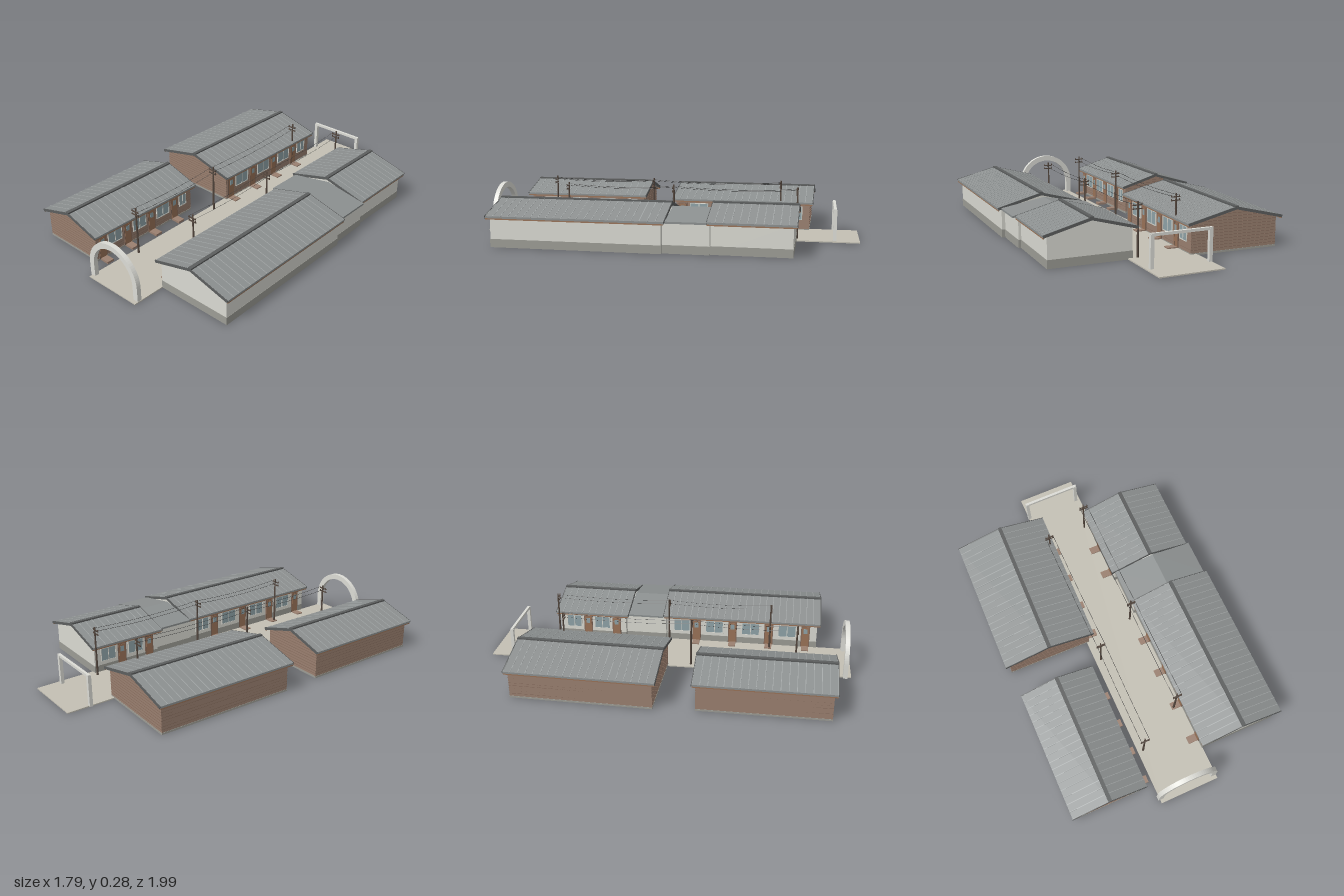
import * as THREE from 'three';

const mat = (color, side = THREE.FrontSide) => new THREE.MeshStandardMaterial({ color, side, flatShading: true });
const M = {
  roof: mat(0x8c9090), cap: mat(0x5c5e5e), rib: mat(0xa3a7a7), brown: mat(0x9a8070), board: mat(0x84695a),
  pale: mat(0xdadad2), dado: mat(0x9c9c95), street: mat(0xc4c0b4), arch: mat(0xdcdcd6), door: mat(0x9a7358),
  glass: mat(0x8fa3a8), step: mat(0x9b8070), pole: mat(0x55483f), wire: mat(0x3a3a3a),
};
const DEG = Math.PI / 180;
const STREET_ANGLE = -25.2 * DEG;

function add(parent, name, geo, material, x = 0, y = 0, z = 0) {
  const m = new THREE.Mesh(geo, material);
  m.name = name;
  m.position.set(x, y, z);
  parent.add(m);
  return m;
}
const box = (parent, name, material, w, h, d, x, y, z) =>
  add(parent, name, new THREE.BoxGeometry(w, h, d), material, x, y, z);

// Extrude a cross-section along z, centred on z = 0
function prism(points, depth) {
  const shape = new THREE.Shape(points.map(([x, y]) => new THREE.Vector2(x, y)));
  return new THREE.ExtrudeGeometry(shape, { depth, bevelEnabled: false }).translate(0, 0, -depth / 2);
}

// Window with frame, glass and bars on the wall plane x, facing side s
function addWindow(g, s, x, z, w) {
  const win = new THREE.Group();
  win.name = 'window';
  g.add(win);
  box(win, 'glass', M.glass, 0.004, 0.07, w, x + s * 0.001, 0.098, z);
  for (const y of [0.062, 0.134]) box(win, 'windowRail', M.pale, 0.008, 0.004, w + 0.004, x + s * 0.001, y, z);
  for (const k of [-0.5, 0, 0.5]) box(win, 'windowBar', M.pale, 0.008, 0.072, 0.004, x + s * 0.001, 0.098, z + k * w);
}

// Door with frame and step
function addDoor(g, s, x, z) {
  box(g, 'doorFrame', M.board, 0.006, 0.128, 0.05, x + s * 0.001, 0.072, z);
  box(g, 'door', M.door, 0.008, 0.12, 0.04, x + s * 0.002, 0.07, z);
  box(g, 'doorPane', M.glass, 0.01, 0.03, 0.022, x + s * 0.002, 0.105, z);
  box(g, 'doorStep', M.step, 0.058, 0.012, 0.04, x + s * 0.028, 0.006, z);
}

// Gabled house; width and length are those of the roof, side is where the street lies
function house({ name, x, z, angle, width, length, side, brick, doors, ridge = 0.222, plain = false, wallExtra = -0.036 }) {
  const g = new THREE.Group();
  g.name = name;
  g.position.set(x, 0, z);
  g.rotation.y = -angle * DEG;
  const R = width / 2, W = R - 0.023, L = length + wallExtra, eave = 0.16;
  const roofY = (u) => ridge - (ridge - eave) * Math.abs(u) / R;

  // Walls
  const top = roofY(W) - 0.008;
  add(g, 'walls', prism([[-W, 0], [W, 0], [W, top], [0, ridge - 0.008], [-W, top]], L), brick ? M.brown : M.pale);
  const baseH = brick ? 0.01 : 0.042;
  box(g, 'wallBase', M.dado, 2 * W + 0.003, baseH, L + 0.003, 0, baseH / 2, 0);
  if (brick) {
    // Horizontal boards on the gable ends
    for (let y = 0.025; y < 0.205; y += 0.015) {
      const half = y < top - 0.004 ? W : Math.max(0, R * (ridge - 0.012 - y) / (ridge - eave));
      if (half > 0.02) box(g, 'sidingBoard', M.board, 2 * half, 0.002, L + 0.003, 0, y, 0);
    }
  }

  // Roof
  const t = 0.01;
  add(g, 'roof', prism([[-R, eave - t], [0, ridge - t], [R, eave - t], [R, eave], [0, ridge], [-R, eave]], length), M.roof);
  if (!plain) {
    box(g, 'ridgeCap', M.cap, 0.02, 0.009, length + 0.004, 0, ridge + 0.001, 0);
    const slope = Math.atan2(ridge - eave, R), run = Math.hypot(ridge - eave, R);
    const n = Math.round(length / 0.04);
    for (const s of [-1, 1]) {
      for (let i = 0; i <= n; i++) {
        const rib = box(g, 'roofSeam', M.rib, run, 0.003, 0.003, s * R / 2, (ridge + eave) / 2,
          (i / n - 0.5) * (length - 0.004));
        rib.rotation.z = -s * slope;
      }
      box(g, 'eaveBoard', M.door, 0.004, 0.009, length - 0.004, s * (R - 0.003), eave - 0.012, 0);
      // Dark verge strips along the gable edges
      for (const e of [-1, 1]) {
        const verge = box(g, 'verge', M.cap, run, 0.014, 0.004, s * R / 2, (ridge + eave) / 2 - 0.005, e * length / 2);
        verge.rotation.z = -s * slope;
      }
    }
  }

  // Street front: doors with windows in the gaps between them
  const wx = side * W;
  const stops = [-L / 2, ...doors, L / 2];
  for (const d of doors) addDoor(g, side, wx, d);
  for (let i = 0; doors.length && i < stops.length - 1; i++) {
    const a = stops[i] + 0.03, b = stops[i + 1] - 0.03;
    if (b - a > 0.06) addWindow(g, side, wx, (a + b) / 2, Math.min(b - a - 0.02, 0.1));
  }
  return g;
}

// Utility pole with two crossarms
function utilityPole(x, z) {
  const g = new THREE.Group();
  g.name = 'utilityPole';
  g.position.set(x, 0, z);
  g.rotation.y = STREET_ANGLE;
  add(g, 'pole', new THREE.CylinderGeometry(0.004, 0.006, 0.275, 8), M.pole, 0, 0.1375, 0);
  for (const y of [0.238, 0.256]) {
    box(g, 'crossarm', M.pole, 0.05, 0.005, 0.005, 0, y, 0.005);
    for (const k of [-0.022, 0.022])
      add(g, 'insulator', new THREE.CylinderGeometry(0.002, 0.002, 0.008, 6), M.pole, k, y + 0.005, 0.005);
  }
  return g;
}

export function createModel() {
  const model = new THREE.Group();
  model.name = 'streetOfHouses';

  // Street with the two gateways
  const street = new THREE.Group();
  street.name = 'street';
  street.rotation.y = STREET_ANGLE;
  model.add(street);
  box(street, 'pavement', M.street, 0.332, 0.006, 2.0, 0.049, 0.003, -0.05);

  // Round entrance arch
  const outer = 0.17, inner = 0.14, spring = 0.08;
  const shape = new THREE.Shape();
  shape.moveTo(outer, 0);
  shape.lineTo(outer, spring);
  shape.absarc(0, spring, outer, 0, Math.PI, false);
  shape.lineTo(-outer, 0);
  shape.lineTo(-inner, 0);
  shape.lineTo(-inner, spring);
  shape.absarc(0, spring, inner, Math.PI, 0, true);
  shape.lineTo(inner, 0);
  const archGeo = new THREE.ExtrudeGeometry(shape, { depth: 0.024, bevelEnabled: false, curveSegments: 20 });
  add(street, 'entranceArch', archGeo, M.arch, 0.043, 0, 0.906);

  // Square back gate
  for (const u of [-0.112, 0.19]) box(street, 'gatePost', M.arch, 0.018, 0.165, 0.018, u, 0.0825, -0.923);
  box(street, 'gateBeam', M.arch, 0.32, 0.014, 0.014, 0.039, 0.163, -0.923);

  // Houses
  const spaced = (first, step, n) => Array.from({ length: n }, (_, i) => first + i * step);
  model.add(
    house({ name: 'backRightHouse', x: -0.118, z: -0.524, angle: 26.5, width: 0.518, length: 0.78, side: 1, brick: true, doors: spaced(-0.223, 0.186, 4) }),
    house({ name: 'frontRightHouse', x: -0.551, z: 0.292, angle: 25.6, width: 0.418, length: 0.714, side: 1, brick: true, doors: spaced(-0.209, 0.169, 4) }),
    house({ name: 'backLeftHouse', x: 0.588, z: -0.31, angle: 25.8, width: 0.467, length: 0.427, side: -1, doors: [-0.03, 0.14] }),
    house({ name: 'frontLeftHouse', x: 0.242, z: 0.484, angle: 25.4, width: 0.467, length: 0.9, side: -1, doors: spaced(-0.259, 0.209, 4) }),
    house({ name: 'connectingHouse', x: 0.466, z: -0.02, angle: 25.5, width: 0.462, length: 0.2, side: -1, doors: [], ridge: 0.2, plain: true, wallExtra: 0.03 }),
  );

  // Utility poles and sagging wires along both sides of the street
  const rows = [
    [[0.19, -0.61], [-0.11, 0.035], [-0.355, 0.55]],
    [[0.46, -0.59], [0.185, 0], [-0.06, 0.525]],
  ];
  const across = new THREE.Vector3(Math.cos(STREET_ANGLE), 0, -Math.sin(STREET_ANGLE));
  for (const row of rows) {
    for (const [x, z] of row) model.add(utilityPole(x, z));
    for (let i = 0; i < row.length - 1; i++) {
      for (const k of [-0.022, 0.022]) {
        const a = new THREE.Vector3(row[i][0], 0.262, row[i][1]).addScaledVector(across, k);
        const b = new THREE.Vector3(row[i + 1][0], 0.262, row[i + 1][1]).addScaledVector(across, k);
        const mid = a.clone().lerp(b, 0.5).setY(0.238);
        add(model, 'wire', new THREE.TubeGeometry(new THREE.QuadraticBezierCurve3(a, mid, b), 10, 0.001, 4), M.wire);
      }
    }
  }
  return model;
}
